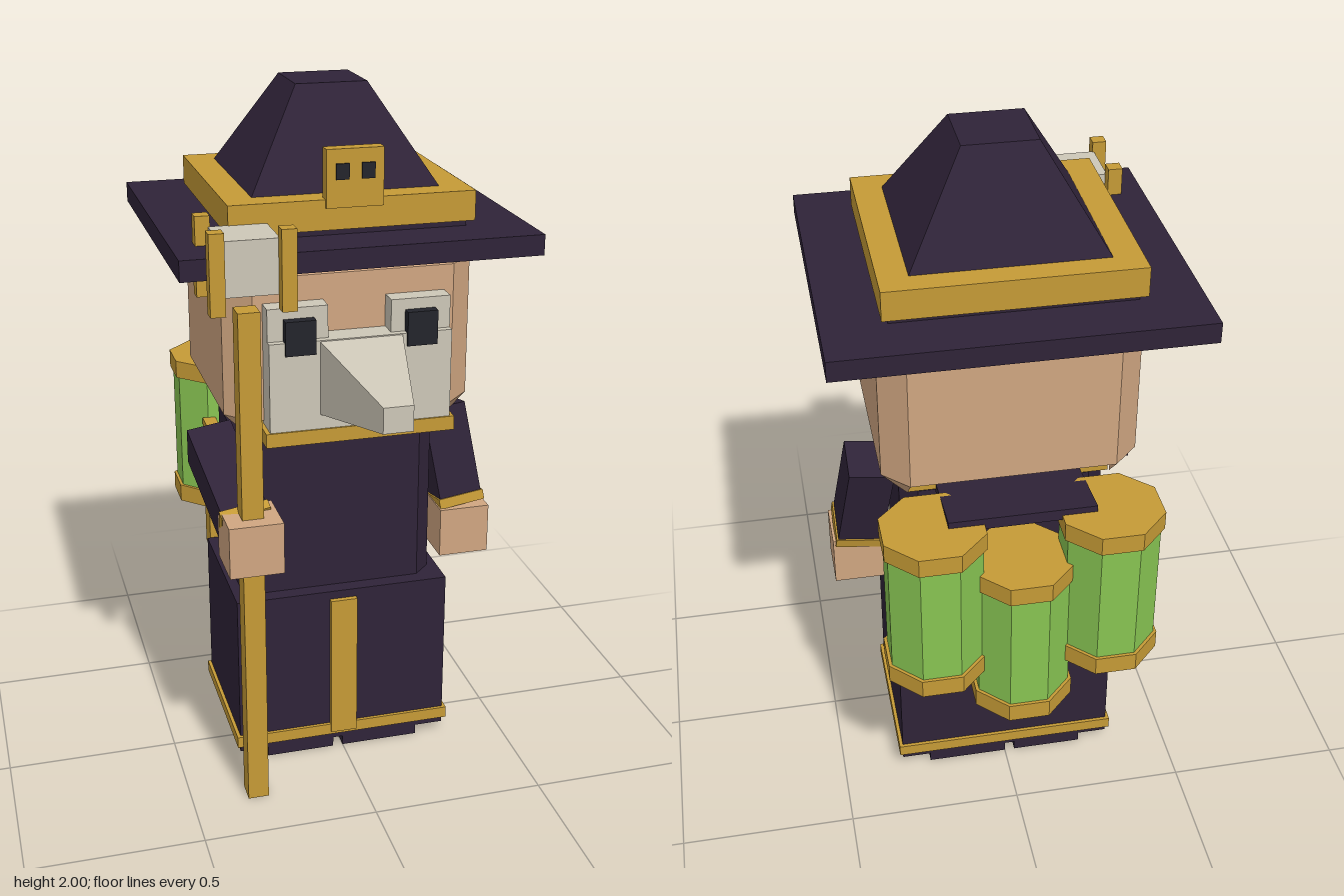
import * as THREE from 'three';
import { ConvexGeometry } from 'three/addons/geometries/ConvexGeometry.js';

const material = (name, color) => {
  const m = new THREE.MeshStandardMaterial({ color });
  m.name = name;
  return m;
};

export function createModel() {
  const cloth = material('dark purple cloth', 0x2f2338);
  const gold = material('gold trim', 0xc59a36);
  const skin = material('skin', 0xd0a681);
  const bone = material('bone mask', 0xcdc7b7);
  const green = material('green canister', 0x88c452);
  const black = material('black', 0x23242b);

  const root = new THREE.Group();
  root.name = 'robedFigure';

  const add = (name, geo, mat, parent = root) => {
    const mesh = new THREE.Mesh(geo, mat);
    mesh.name = name;
    parent.add(mesh);
    return mesh;
  };
  // Box given by its limits on each axis
  const box = (name, mat, x0, x1, y0, y1, z0, z1) => {
    const mesh = add(name, new THREE.BoxGeometry(x1 - x0, y1 - y0, z1 - z0), mat);
    mesh.position.set((x0 + x1) / 2, (y0 + y1) / 2, (z0 + z1) / 2);
    return mesh;
  };
  const hull = (name, mat, pts) =>
    add(name, new ConvexGeometry(pts.map((p) => new THREE.Vector3(...p))), mat);
  // Block with cut vertical corners and a bevelled top
  const bevelBlock = (name, mat, hx, hz, cz, y0, y1, b) => {
    const pts = [];
    for (const sx of [-1, 1]) for (const sz of [-1, 1]) {
      for (const y of [y0, y1 - b]) {
        pts.push([sx * hx, y, cz + sz * (hz - b)], [sx * (hx - b), y, cz + sz * hz]);
      }
      pts.push([sx * (hx - b), y1, cz + sz * (hz - b)]);
    }
    return hull(name, mat, pts);
  };

  // Robe
  for (const [a, b] of [[-0.235, -0.03], [0.0, 0.235]]) {
    box('foot', cloth, a, b, 0, 0.04, -0.31, 0.14);
  }
  for (const z of [-0.25, -0.1, 0.05]) {
    box('soleSlat', black, -0.29, 0.29, 0.025, 0.035, z - 0.04, z + 0.04);
  }
  box('robeSkirt', cloth, -0.32, 0.32, 0.03, 0.535, -0.31, 0.14);
  box('robeHem', gold, -0.33, 0.33, 0.05, 0.085, -0.32, 0.15);
  box('robeStripe', gold, -0.04, 0.04, 0.06, 0.51, 0.13, 0.156);
  bevelBlock('torso', cloth, 0.29, 0.18, -0.085, 0.53, 1.065, 0.048);

  // Head with small cut lower corners over a gold collar
  const hx = 0.35, hz = 0.323, hc = -0.083, b = 0.07;
  bevelBlock('head', skin, hx, hz, hc, 1.14, 1.61, b);
  for (const sx of [-1, 1]) for (const sz of [-1, 1]) {
    const xi = sx * (hx - b), zi = hc + sz * (hz - b);
    hull('jawCorner', skin, [
      [xi, 1.14, hc + sz * hz], [sx * hx, 1.14, zi], [xi, 1.07, zi], [xi, 1.14, zi],
    ]);
  }
  box('collar', gold, -0.28, 0.28, 1.06, 1.141, -0.32, 0.148);

  // Mask, eyes and beak
  box('mask', bone, -0.253, 0.253, 1.12, 1.38, 0.23, 0.315);
  box('chinTrim', gold, -0.265, 0.265, 1.09, 1.13, 0.14, 0.32);
  for (const s of [-1, 1]) {
    box('browPlate', bone, s * 0.17 - 0.083, s * 0.17 + 0.083, 1.36, 1.47, 0.235, 0.295);
    box('eye', black, s * 0.168 - 0.042, s * 0.168 + 0.042, 1.345, 1.44, 0.24, 0.323);
  }
  const beak = [];
  for (const s of [-1, 1]) {
    beak.push([s * 0.115, 1.17, 0.31], [s * 0.115, 1.378, 0.31]);
    beak.push([s * 0.04, 1.235, 0.645], [s * 0.04, 1.305, 0.645]);
  }
  hull('beak', bone, beak);

  // Hat
  box('hatBrim', cloth, -0.49, 0.49, 1.58, 1.637, -0.54, 0.36);
  box('hatBase', cloth, -0.32, 0.32, 1.63, 1.66, -0.39, 0.215);
  box('hatBand', gold, -0.338, 0.338, 1.655, 1.737, -0.41, 0.235);
  const crown = [];
  for (const sx of [-1, 1]) for (const sz of [-1, 1]) {
    crown.push([sx * 0.263, 1.73, -0.09 + sz * 0.255], [sx * 0.1, 2, -0.09 + sz * 0.098]);
  }
  hull('hatCrown', cloth, crown);
  box('hatBadge', gold, -0.078, 0.078, 1.715, 1.87, 0.205, 0.245);
  for (const s of [-1, 1]) {
    box('badgeEye', black, s * 0.035 - 0.018, s * 0.035 + 0.018, 1.79, 1.832, 0.24, 0.25);
  }

  // Arms: sleeve and cuff run from shoulder to wrist, hand is a cube
  const arm = (side, from, to, hand) => {
    const group = new THREE.Group();
    group.name = side + 'Arm';
    root.add(group);
    const a = new THREE.Vector3(...from), e = new THREE.Vector3(...to);
    const length = a.distanceTo(e);
    const limb = new THREE.Group();
    limb.name = side + 'Sleeve';
    limb.position.copy(a);
    limb.quaternion.setFromUnitVectors(new THREE.Vector3(0, -1, 0), e.clone().sub(a).normalize());
    group.add(limb);
    add('sleeve', new THREE.BoxGeometry(0.13, length, 0.14), cloth, limb).position.y = -length / 2;
    add('cuff', new THREE.BoxGeometry(0.14, 0.03, 0.15), gold, limb).position.y = -length;
    add(side + 'Hand', new THREE.BoxGeometry(0.152, 0.15, 0.155), skin, group).position.set(...hand);
  };
  arm('left', [0.355, 1.01, -0.08], [0.395, 0.73, -0.015], [0.398, 0.65, -0.003]);
  arm('right', [-0.355, 0.98, -0.04], [-0.315, 0.835, 0.25], [-0.31, 0.82, 0.307]);

  // Staff with a caged block on top
  box('staff', gold, -0.34, -0.28, 0, 1.48, 0.277, 0.34);
  box('staffBlock', bone, -0.39, -0.235, 1.538, 1.685, 0.23, 0.385);
  for (const x of [-0.405, -0.22]) for (const z of [0.215, 0.4]) {
    box('staffPost', gold, x - 0.02, x + 0.02, 1.5, 1.715, z - 0.02, z + 0.02);
  }

  // Back frame and strap
  for (const s of [-1, 1]) {
    box('framePost', gold, s * 0.29 - 0.02, s * 0.29 + 0.02, 0.495, 0.915, -0.385, -0.315);
  }
  box('frameBar', gold, -0.3, 0.3, 0.495, 0.535, -0.385, -0.315);
  box('backStrap', cloth, -0.2, 0.2, 1.055, 1.085, -0.53, -0.25).rotation.x = 0.12;

  // Canisters: eight-sided, flat side to the back
  const octagon = (apothem, height) =>
    new THREE.CylinderGeometry(apothem / Math.cos(Math.PI / 8), apothem / Math.cos(Math.PI / 8), height, 8)
      .rotateY(Math.PI / 8).toNonIndexed();
  const flat = (geo) => { geo.computeVertexNormals(); return geo; };
  for (const [x, y] of [[-0.24, 0.61], [0, 0.475], [0.24, 0.61]]) {
    const can = new THREE.Group();
    can.name = 'canister';
    can.position.set(x, y, -0.51);
    root.add(can);
    add('canisterBody', flat(octagon(0.127, 0.45)), green, can).position.y = 0.2375;
    for (const h of [0.027, 0.448]) {
      add('canisterBand', flat(octagon(0.136, 0.054)), gold, can).position.y = h;
    }
    if (x === 0) add('nozzle', flat(octagon(0.05, 0.02)), bone, can).position.y = 0.005;
  }
  return root;
}
